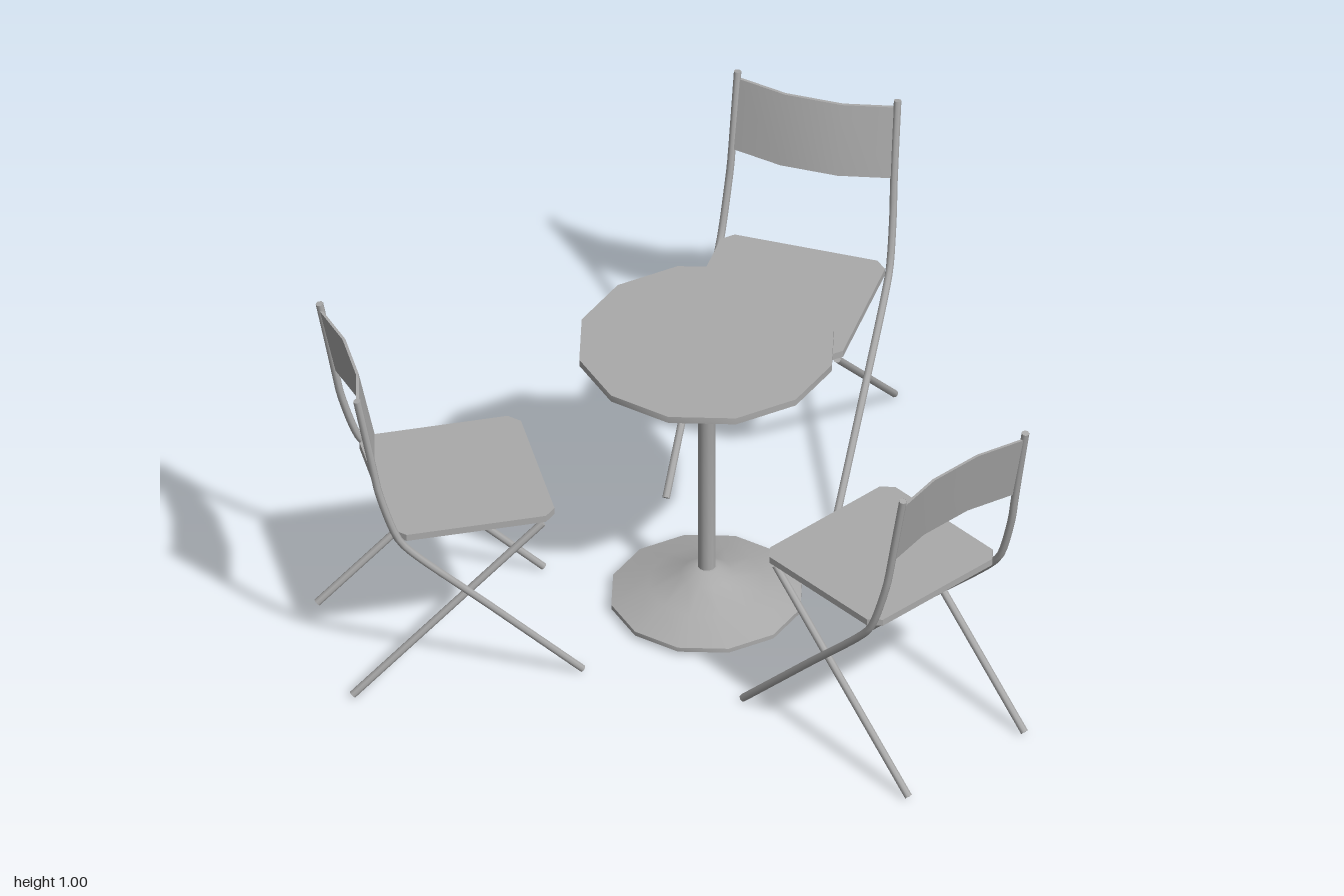
import * as THREE from 'three';
import { toCreasedNormals } from 'three/addons/utils/BufferGeometryUtils.js';

const TABLE_X = -0.162;      // table centre, the chairs stand around it
const CHAIR_DISTANCE = 0.707;

const grey = new THREE.MeshStandardMaterial({ color: 0xaaaaaa, side: THREE.DoubleSide });
grey.name = 'grey metal';

function addMesh(parent, name, geometry) {
  const mesh = new THREE.Mesh(geometry, grey);
  mesh.name = name;
  parent.add(mesh);
  return mesh;
}

// Round bar through [x, y, z] points, closed at both ends
function addBar(parent, name, points, radius, segments) {
  const curve = new THREE.CatmullRomCurve3(points.map(p => new THREE.Vector3(...p)), false, 'centripetal');
  const bar = addMesh(parent, name, new THREE.TubeGeometry(curve, segments, radius, 8, false));
  for (const [t, dir] of [[0, -1], [1, 1]]) {
    const cap = addMesh(bar, name + 'End', new THREE.CircleGeometry(radius, 8));
    cap.position.copy(curve.getPointAt(t));
    cap.quaternion.setFromUnitVectors(new THREE.Vector3(0, 0, 1), curve.getTangentAt(t).multiplyScalar(dir));
  }
}

// Plan outline of [x, z] points raised to a slab standing on y
function slab(outline, y, height) {
  const shape = new THREE.Shape(outline.map(([x, z]) => new THREE.Vector2(x, -z)));
  return new THREE.ExtrudeGeometry(shape, { depth: height, bevelEnabled: false })
    .rotateX(-Math.PI / 2).translate(0, y, 0);
}

function lathe(profile) {
  const geometry = new THREE.LatheGeometry(profile.map(p => new THREE.Vector2(...p)), 12);
  return toCreasedNormals(geometry, 0.6);
}

function createTable() {
  const table = new THREE.Group();
  table.name = 'table';
  addMesh(table, 'tableTop', lathe([[0, 0.84], [0.35, 0.84], [0.35, 0.86], [0, 0.86]]));
  addMesh(table, 'tableStem', lathe([
    [0, 0.095], [0.024, 0.095], [0.024, 0.79], [0.032, 0.815], [0.032, 0.83], [0.024, 0.842],
  ]));
  // Hollow, open from below
  addMesh(table, 'tableBase', lathe([
    [0.262, 0.014], [0.262, 0.027], [0.16, 0.06], [0.07, 0.092], [0.032, 0.115], [0.022, 0.115],
  ]));
  return table;
}

// Folding chair, its front towards -x
function createChair() {
  const chair = new THREE.Group();
  chair.name = 'chair';

  // Seat with cut corners
  const [x0, x1, w, c] = [-0.243, 0.2, 0.23, 0.03];
  addMesh(chair, 'seat', slab([
    [x0 + c, w], [x1 - c, w], [x1, w - c], [x1, c - w],
    [x1 - c, -w], [x0 + c, -w], [x0, c - w], [x0, w - c],
  ], 0.51, 0.02));

  // Backrest bowed forwards and leaning back
  const bow = [[0.264, 0.222], [0.232, 0.08], [0.232, -0.08], [0.264, -0.222]];
  const back = bow.map(([x, z]) => [x - 0.008, z]).reverse();
  const panel = slab([...bow, ...back], 0.77, 0.205);
  const pos = panel.attributes.position;
  for (let i = 0; i < pos.count; i++) pos.setX(i, pos.getX(i) + (pos.getY(i) - 0.77) * 0.21);
  addMesh(chair, 'backrest', toCreasedNormals(panel, 0.6));

  for (const s of [1, -1]) {
    // Front foot running up past the seat to the top of the back
    addBar(chair, 'sideFrame', [
      [-0.312, 0.008, s * 0.235], [-0.06, 0.26, s * 0.237], [0.17, 0.49, s * 0.237], [0.197, 0.53, s * 0.236],
      [0.246, 0.68, s * 0.23], [0.254, 0.72, s * 0.228], [0.274, 0.83, s * 0.226], [0.305, 0.995, s * 0.224],
    ], 0.0105, 40);
    addBar(chair, 'crossLeg', [[-0.208, 0.495, s * 0.212], [0.314, 0.008, s * 0.212]], 0.0105, 1);
  }
  return chair;
}

export function createModel() {
  const model = new THREE.Group();
  model.name = 'tableWithChairs';
  const table = createTable();
  table.position.x = TABLE_X;
  model.add(table);
  for (let i = 0; i < 3; i++) {
    const angle = i * Math.PI * 2 / 3;
    const chair = createChair();
    chair.position.set(TABLE_X + Math.cos(angle) * CHAIR_DISTANCE, 0, -Math.sin(angle) * CHAIR_DISTANCE);
    chair.rotation.y = angle;
    model.add(chair);
  }
  return model;
}
